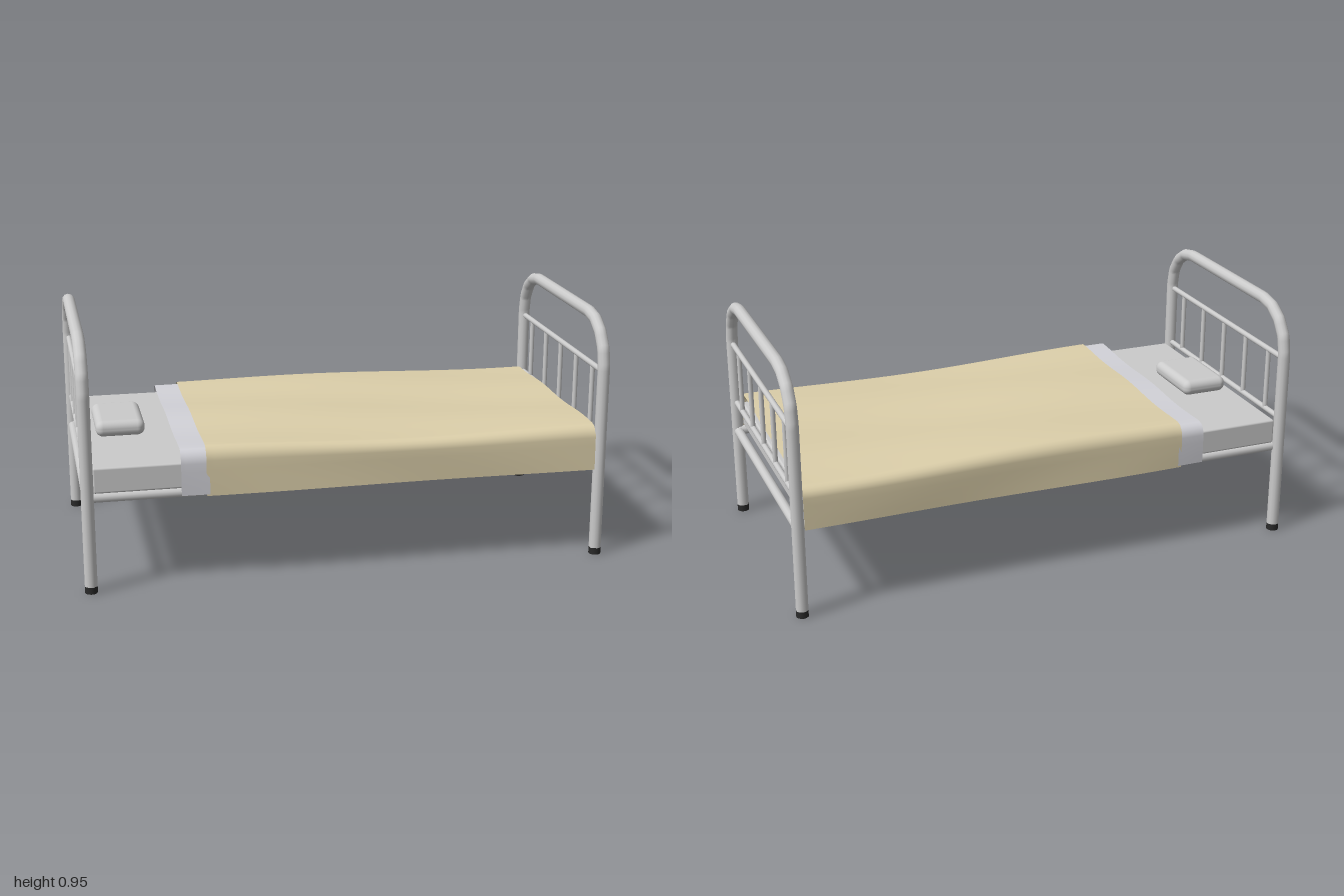
import * as THREE from 'three';
import { RoundedBoxGeometry } from 'three/addons/geometries/RoundedBoxGeometry.js';

const metal = new THREE.MeshStandardMaterial({ color: 0xcccccc });
const rubber = new THREE.MeshStandardMaterial({ color: 0x2a2a2a });
const linen = new THREE.MeshStandardMaterial({ color: 0xd2d2d8, side: THREE.DoubleSide });
const wool = new THREE.MeshStandardMaterial({ color: 0xdccfaa, side: THREE.DoubleSide });

const END_X = 0.977, LEG_Z = 0.477, LEG_R = 0.0235;

function add(parent, name, geometry, material) {
  const mesh = new THREE.Mesh(geometry, material);
  mesh.name = name;
  parent.add(mesh);
  return mesh;
}

// Straight round bar between two points
function bar(parent, name, a, b, r, material = metal) {
  const from = new THREE.Vector3(...a), to = new THREE.Vector3(...b);
  const mesh = add(parent, name, new THREE.CylinderGeometry(r, r, from.distanceTo(to), 12), material);
  mesh.position.lerpVectors(from, to, 0.5);
  mesh.quaternion.setFromUnitVectors(new THREE.Vector3(0, 1, 0), to.sub(from).normalize());
}

// One bed end: legs bent into an arch, three cross bars, spindles and rubber feet
function bedEnd(name, x) {
  const end = new THREE.Group();
  end.name = name;
  const path = new THREE.CurvePath();
  const half = [[LEG_Z, 0.026], [LEG_Z, 0.75]];
  for (let i = 1; i <= 4; i++) {
    const t = (i / 4) * Math.PI / 2;
    half.push([0.3 + 0.177 * Math.cos(t), 0.75 + 0.177 * Math.sin(t)]);
  }
  const points = [...half, ...half.slice().reverse().map(([z, y]) => [-z, y])]
    .map(([z, y]) => new THREE.Vector3(0, y, z));
  for (let i = 1; i < points.length; i++) path.add(new THREE.LineCurve3(points[i - 1], points[i]));
  add(end, 'archedTube', new THREE.TubeGeometry(path, 120, LEG_R, 12), metal);

  for (const s of [-1, 1]) {
    bar(end, 'rubberFoot', [0, 0, s * LEG_Z], [0, 0.027, s * LEG_Z], LEG_R, rubber);
  }
  for (const [y, r] of [[0.733, 0.011], [0.484, 0.011], [0.358, 0.018]]) {
    bar(end, 'crossBar', [0, y, -LEG_Z], [0, y, LEG_Z], r);
  }
  for (let i = -2; i <= 2; i++) {
    bar(end, 'spindle', [0, 0.484, i * 0.18], [0, 0.733, i * 0.18], 0.0095);
  }
  end.position.x = x;
  return end;
}

// Gentle ripples along the bedding
function ripple(x, z) {
  return 0.006 * Math.sin(4.2 * x + 3 * z + 2.5) + 0.004 * Math.sin(13 * z - 3 * x) - 0.006 * x;
}

// Cloth draped over the mattress: one cross-section per step along x
function drapedCloth(x0, x1, steps, top, hem) {
  const r = 0.045, halfWidth = 0.487, profile = [];
  for (let i = 0; i <= 4; i++) profile.push([halfWidth, hem + (top - r - hem) * i / 4]);
  for (let i = 1; i <= 5; i++) {
    const t = (i / 5) * Math.PI / 2;
    profile.push([halfWidth - r + r * Math.cos(t), top - r + r * Math.sin(t)]);
  }
  for (let i = 1; i < 16; i++) profile.push([(halfWidth - r) * (1 - i / 8), top]);
  for (let i = 9; i >= 0; i--) profile.push([-profile[i][0], profile[i][1]]);

  const positions = [], indices = [], n = profile.length;
  for (let i = 0; i <= steps; i++) {
    const x = x0 + (x1 - x0) * i / steps;
    profile.forEach(([z, y], j) => {
      const lift = (y - hem) / (top - hem);
      const sway = 0.004 * Math.sin(5 * x + 9 * y) * Math.sign(z) * (1 - lift);
      positions.push(x, y + ripple(x, z) * lift * lift, z + sway);
      if (i < steps && j < n - 1) {
        const a = i * n + j, b = a + n;
        indices.push(a, b, a + 1, b, b + 1, a + 1);
      }
    });
  }
  const g = new THREE.BufferGeometry();
  g.setAttribute('position', new THREE.Float32BufferAttribute(positions, 3));
  g.setIndex(indices);
  g.computeVertexNormals();
  return g;
}

export function createModel() {
  const bed = new THREE.Group();
  bed.name = 'bed';

  // Frame
  bed.add(bedEnd('headEnd', -END_X), bedEnd('footEnd', END_X));
  for (const s of [-1, 1]) {
    bar(bed, 'sideRail', [-END_X, 0.362, s * 0.462], [END_X, 0.362, s * 0.462], 0.018);
  }

  // Mattress and pillow
  add(bed, 'mattress', new RoundedBoxGeometry(1.91, 0.098, 0.95, 2, 0.008), metal)
    .position.set(0, 0.429, 0);
  add(bed, 'pillow', new RoundedBoxGeometry(0.187, 0.062, 0.285, 4, 0.028), metal)
    .position.set(-0.823, 0.514, -0.005);

  // Folded sheet edge and blanket
  add(bed, 'sheetFold', drapedCloth(-0.635, -0.53, 6, 0.513, 0.355), linen);
  add(bed, 'blanket', drapedCloth(-0.542, 0.955, 48, 0.522, 0.349), wool);
  return bed;
}
